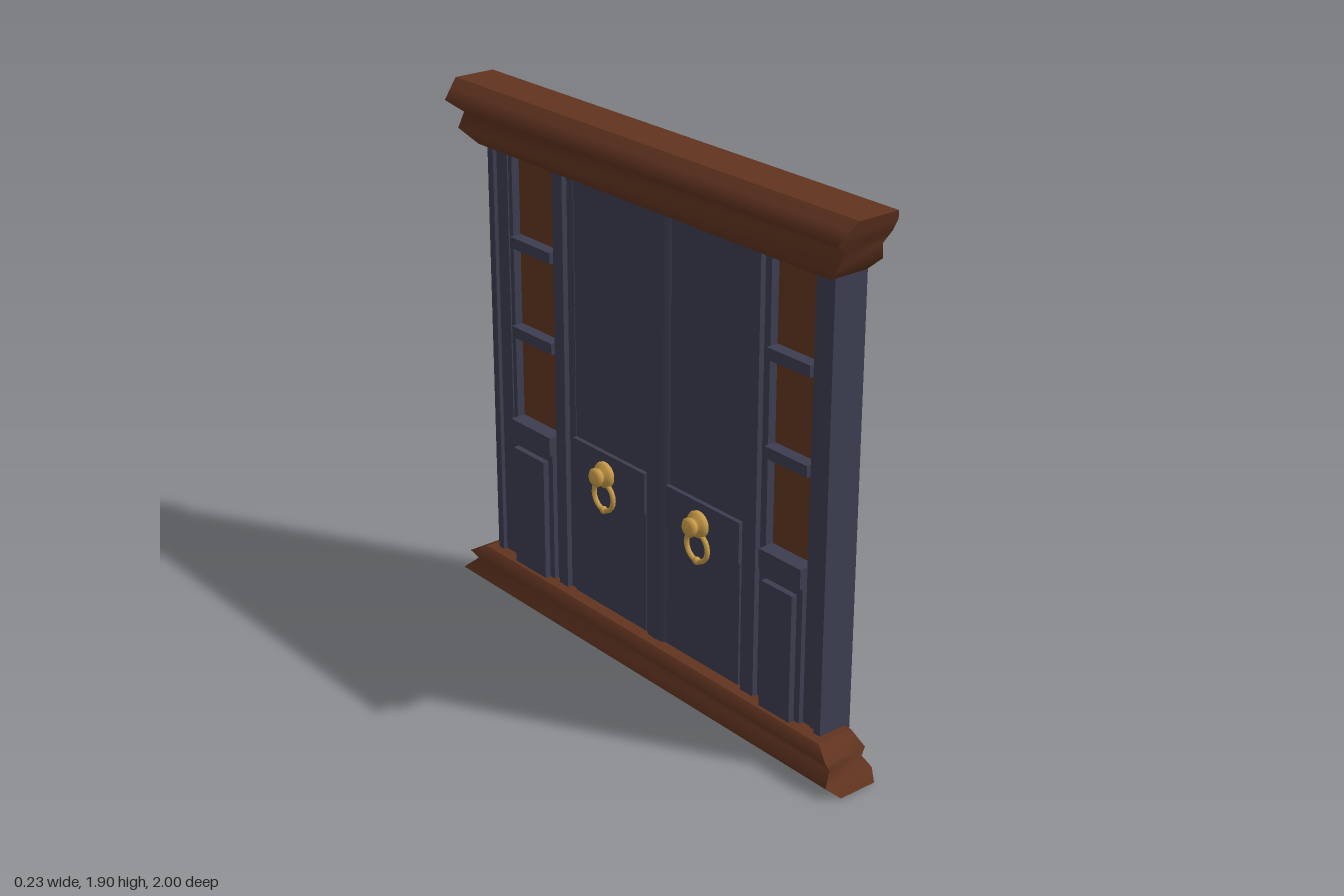
import * as THREE from 'three';

const mat = (name, color, side = THREE.FrontSide) => {
  const m = new THREE.MeshStandardMaterial({ color, side });
  m.name = name;
  return m;
};

export function createModel() {
  const slate = mat('slate paint', 0x3c3d50);
  const wood = mat('brown wood', 0x613420, THREE.DoubleSide);
  const brass = mat('brass', 0xc89b48);
  const model = new THREE.Group();
  model.name = 'doubleDoor';

  const add = (name, geometry, material, parent = model) => {
    const m = new THREE.Mesh(geometry, material);
    m.name = name;
    parent.add(m);
    return m;
  };
  const box = (name, x0, x1, y0, y1, z0, z1, material = slate) => {
    const g = new THREE.BoxGeometry(x1 - x0, y1 - y0, Math.abs(z1 - z0));
    add(name, g, material).position.set((x0 + x1) / 2, (y0 + y1) / 2, (z0 + z1) / 2);
  };

  // Moulding shell, open at the back: each level is [y, front x, back x, half length]
  const moulding = (name, levels) => {
    const pos = [], index = [];
    const rings = levels.map(([y, xf, xb, z]) => [[xb, y, -z], [xf, y, -z], [xf, y, z], [xb, y, z]]);
    const strip = (pairs) => {
      const base = pos.length / 3;
      pairs.forEach(([a, b], i) => {
        pos.push(...a, ...b);
        const n = base + i * 2;
        if (i) index.push(n - 2, n - 1, n + 1, n - 2, n + 1, n);
      });
    };
    for (let k = 0; k < 3; k++) strip(rings.map((r) => [r[k], r[k + 1]]));
    const bottom = rings[0], top = rings[rings.length - 1];
    strip([[bottom[0], bottom[3]], [bottom[1], bottom[2]]].reverse().map(([a, b]) => [b, a]).reverse());
    strip([[top[0], top[3]], [top[1], top[2]]].reverse());
    const g = new THREE.BufferGeometry();
    g.setAttribute('position', new THREE.Float32BufferAttribute(pos, 3));
    g.setIndex(index);
    g.computeVertexNormals();
    // turn the lid normals outwards
    const lids = [[g.attributes.position.count - 8, -1], [g.attributes.position.count - 4, 1]];
    const idx = g.index.array, normal = g.attributes.normal;
    lids.forEach(([start, up], i) => {
      if (normal.getY(start) * up > 0) return;
      for (let v = start; v < start + 4; v++) normal.setY(v, up);
      const o = idx.length - 12 + i * 6;
      for (const t of [o, o + 3]) [idx[t + 1], idx[t + 2]] = [idx[t + 2], idx[t + 1]];
    });
    add(name, g, wood);
  };
  moulding('cornice', [
    [1.69, -0.05, 0.095, 0.87], [1.74, -0.09, 0.1, 0.93], [1.79, -0.06, 0.092, 0.935],
    [1.835, -0.117, 0.1, 0.965], [1.87, -0.085, 0.11, 0.975], [1.9, -0.055, 0.1, 0.985],
  ]);
  moulding('threshold', [
    [0, -0.055, 0.09, 1], [0.04, -0.1, 0.102, 0.975], [0.075, -0.055, 0.085, 0.945],
    [0.112, -0.083, 0.088, 0.955], [0.145, -0.053, 0.088, 0.89],
  ]);

  // Thin casing that runs back from the door front
  const Y0 = 0.08, Y1 = 1.7;
  box('casingTop', -0.015, 0.11, Y1 - 0.006, Y1, -0.86, 0.86);
  box('casingBottom', -0.015, 0.11, Y0, Y0 + 0.006, -0.86, 0.86);

  // Sidelight bays, from the outer jamb inwards along z
  const bays = [
    [1, [0.86, 0.83, 0.797, 0.76, 0.567, 0.54, 0.48, 0.455]],
    [-1, [0.86, 0.83, 0.77, 0.75, 0.524, 0.49, 0.444, 0.41]],
  ];
  for (const [s, e] of bays) {
    const z = e.map((v) => v * s);
    box('casingEnd', -0.02, 0.11, Y0, Y1, z[0], z[0] - 0.006 * s);
    box('outerJamb', -0.02, 0.005, Y0, Y1, z[0], z[1]);
    box('jambStep', -0.005, 0.015, Y0, Y1, z[1], z[2]);
    box('jambBead', 0.0, 0.033, Y0, Y1, z[2], z[3]);
    box('innerBead', 0.0, 0.033, Y0, Y1, z[4], z[5]);
    box('doorPost', -0.02, 0.01, Y0, Y1, z[5], z[6]);
    box('doorStop', 0.0, 0.03, Y0, Y1, z[6], z[7]);
    box('sidePane', 0.03, 0.036, 0.7, Y1, z[3], z[4], wood);
    box('sideRail', -0.03, 0.036, 0.63, 0.7, z[3], z[4]);
    box('sidePanel', -0.018, 0.0, Y0, 0.63, z[3], z[4]);
    const inset = 0.025 * s;
    box('raisedPanel', -0.04, -0.018, Y0 + 0.04, 0.6, z[3] - inset, z[4] + inset);
    for (const y of [1.03, 1.36]) {
      box('mullion', -0.015, 0.03, y - 0.02, y + 0.02, z[3], z[4]);
      box('mullionBack', 0.036, 0.042, y - 0.02, y + 0.02, z[3], z[4], wood);
    }
  }

  // Door leaves with a middle rail
  const leaves = [[0.09, 0.455], [-0.41, -0.02]];
  for (const [a, b] of leaves) {
    box('doorLeaf', 0.002, 0.026, Y0, Y1, a, b);
    box('lockRail', -0.014, 0.038, 0.59, 0.74, a, b);
    box('lowerDoorPanel', -0.008, 0.026, Y0, 0.59, a, b);
  }

  // Rounded post where the leaves meet
  const post = add('meetingPost', new THREE.CylinderGeometry(0.066, 0.066, 1.64, 12), slate);
  post.scale.x = 0.5;
  post.position.set(0.012, 0.9, 0.035);

  // Brass knobs with hanging rings on the -x side
  const profile = [[0, 0], [0.036, 0], [0.046, 0.008], [0.048, 0.018], [0.042, 0.028],
    [0.03, 0.034], [0.026, 0.04], [0.032, 0.046], [0.034, 0.054], [0.024, 0.064], [0, 0.068]]
    .map(([r, h]) => new THREE.Vector2(r, h));
  for (const zc of [-0.22, 0.27]) {
    const handle = new THREE.Group();
    handle.name = 'doorHandle';
    handle.position.set(-0.013, 0.67, zc);
    model.add(handle);
    add('knob', new THREE.LatheGeometry(profile, 20).rotateZ(Math.PI / 2), brass, handle);
    add('ring', new THREE.TorusGeometry(0.052, 0.009, 8, 20).rotateY(Math.PI / 2), brass, handle)
      .position.set(-0.018, -0.08, 0);
    add('ringBead', new THREE.SphereGeometry(0.014, 10, 8), brass, handle)
      .position.set(-0.018, -0.132, 0);
  }
  return model;
}
